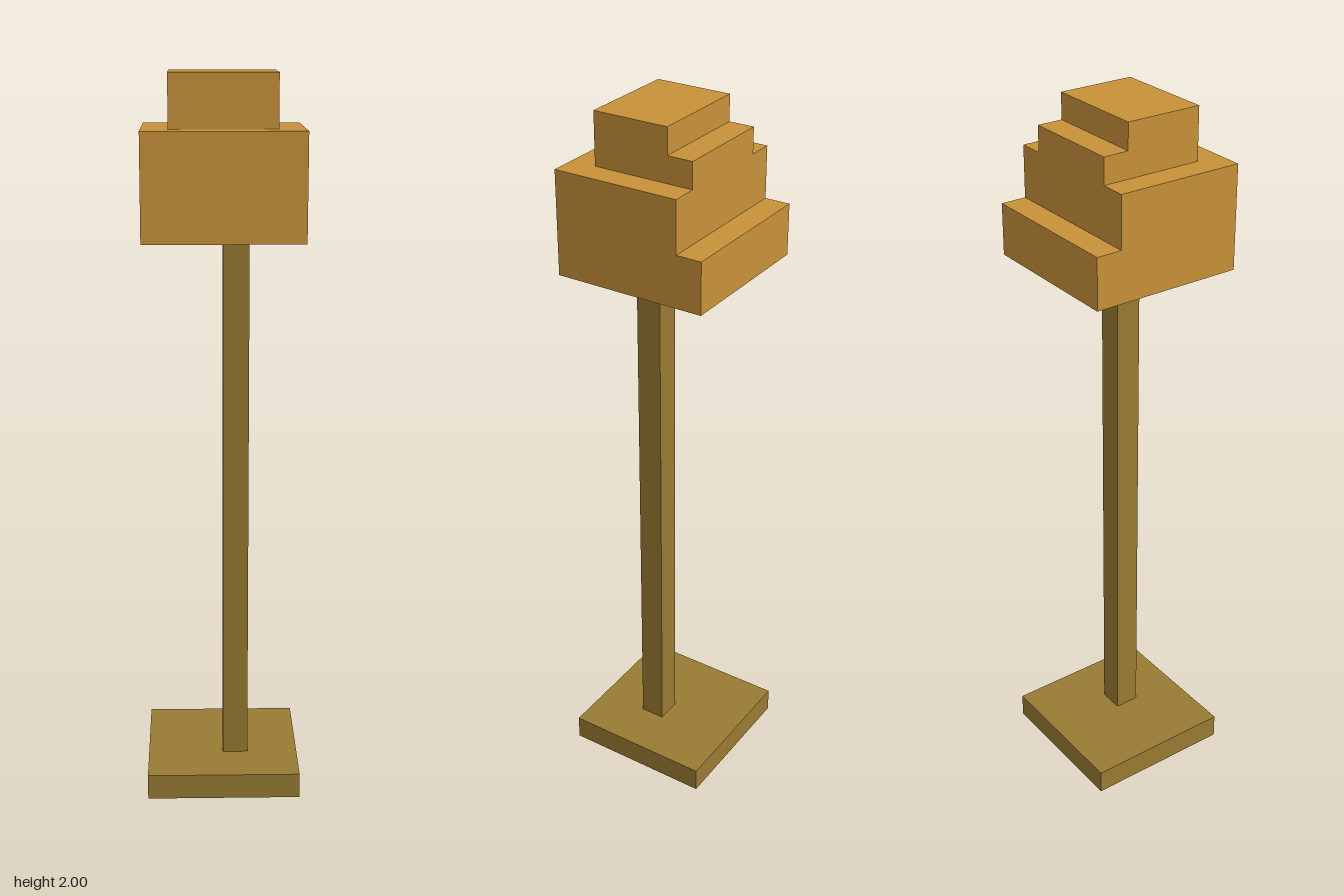
import * as THREE from 'three';

// One grid step: the lamp is 28 steps tall
const U = 2 / 28;

export function createModel() {
  const group = new THREE.Group();
  const postMaterial = new THREE.MeshStandardMaterial({ name: 'olive brown', color: 0x997b33 });
  const headMaterial = new THREE.MeshStandardMaterial({ name: 'amber', color: 0xc8923a });

  function add(name, geometry, material) {
    const mesh = new THREE.Mesh(geometry, material);
    mesh.name = name;
    group.add(mesh);
    return mesh;
  }

  // Box given by its minimum and maximum corners in steps
  function box(name, min, max, material) {
    const size = max.map((v, i) => (v - min[i]) * U);
    const mesh = add(name, new THREE.BoxGeometry(...size), material);
    mesh.position.set(...max.map((v, i) => (v + min[i]) * U / 2));
  }

  // Side profile of [z, y] steps, extruded across x
  function steppedBlock(name, width, profile, material) {
    const shape = new THREE.Shape(profile.map(([z, y]) => new THREE.Vector2(z * U, y * U)));
    const geometry = new THREE.ExtrudeGeometry(shape, { depth: width * U, bevelEnabled: false });
    geometry.translate(0, 0, -width * U / 2).rotateY(-Math.PI / 2);
    add(name, geometry, material);
  }

  // Square foot and the post, which stands one half step off centre
  box('base', [-3, 0, -3], [3, 1, 3], postMaterial);
  box('post', [0, 1, 0], [1, 22, 1], postMaterial);

  // Head and cap, both notched at the back
  steppedBlock('head', 6, [[-3, 22], [3, 22], [3, 26], [-2, 26], [-2, 24], [-3, 24]], headMaterial);
  steppedBlock('cap', 4, [[-2, 26], [2, 26], [2, 28], [-1, 28], [-1, 27], [-2, 27]], headMaterial);

  return group;
}
